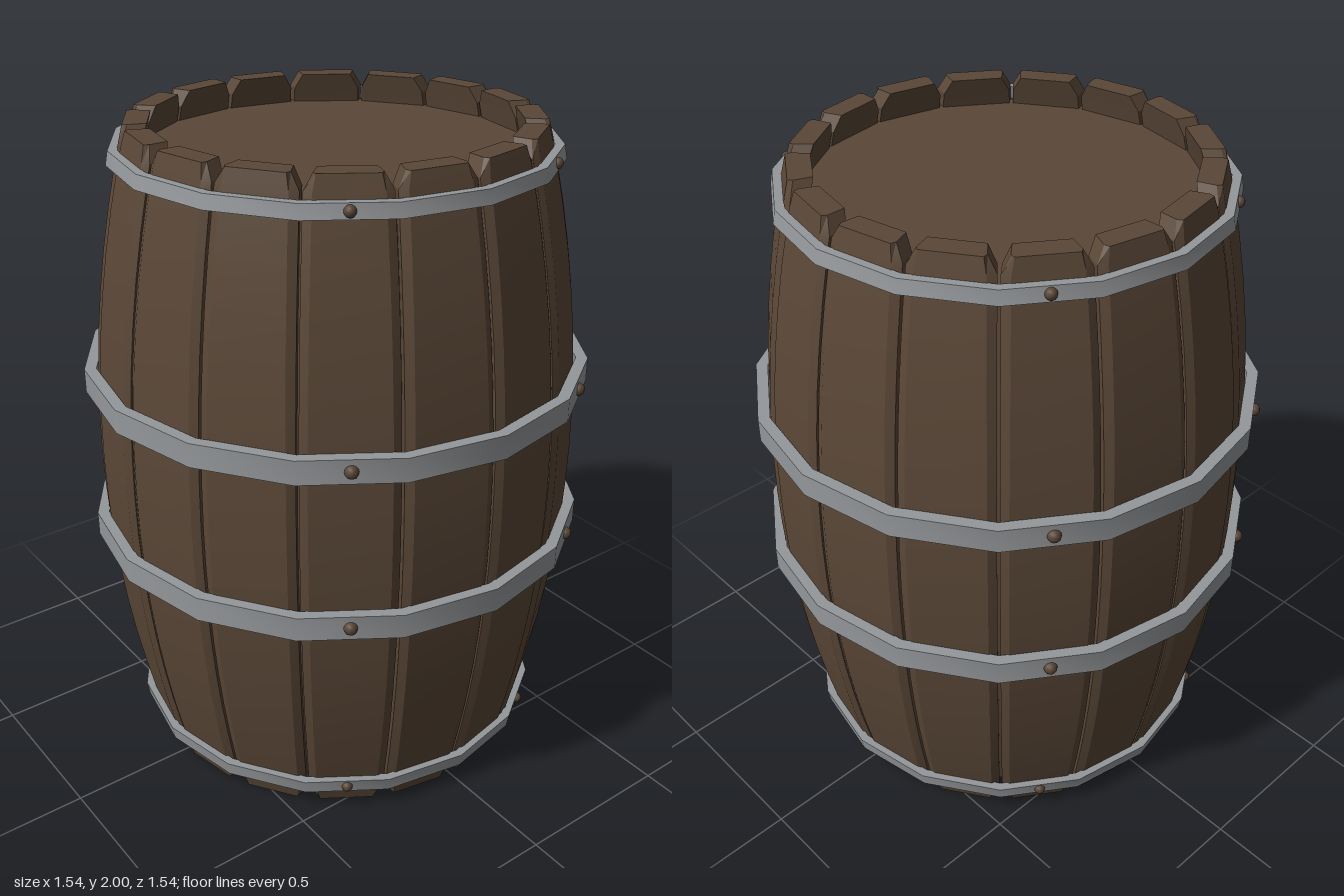
import * as THREE from 'three';
import { toCreasedNormals } from 'three/addons/utils/BufferGeometryUtils.js';

const SIDES = 16;
const HALF = Math.PI / SIDES;

// Distance from the axis to the flat outer face of a stave at height y
const apothem = (y) => (0.743 - 0.132 * (y - 1) ** 2) / 1.0196;

// One bulging stave with bevelled long edges and chamfered end corners
function staveGeometry() {
  const rows = [0, 0.045];
  for (let i = 0; i <= 14; i++) rows.push(0.09 + (1.82 * i) / 14);
  rows.push(1.955, 2);
  const pos = [], index = [], n = 6;
  rows.forEach((y, r) => {
    const a = apothem(y), inner = a - 0.069;
    const trim = y === 0 || y === 2 ? 0.024 : 0;
    const wIn = inner * Math.tan(HALF) - 0.006 - trim;
    const wEdge = a * Math.tan(HALF) - 0.007 - trim;
    const wFace = a * Math.tan(HALF) - 0.03 - trim * 0.3;
    const section = [
      [-wIn, inner], [-wEdge, a - 0.015], [-wFace, a],
      [wFace, a], [wEdge, a - 0.015], [wIn, inner],
    ];
    for (const [x, z] of section) pos.push(x, y, z);
    if (r === 0) return;
    for (let i = 0; i < n; i++) {
      const j = (i + 1) % n, b = (r - 1) * n, t = r * n;
      index.push(b + i, b + j, t + j, b + i, t + j, t + i);
    }
  });
  // End caps
  const top = (rows.length - 1) * n;
  for (let i = 1; i < n - 1; i++) {
    index.push(0, i + 1, i);
    index.push(top, top + i, top + i + 1);
  }
  const geo = new THREE.BufferGeometry();
  geo.setAttribute('position', new THREE.Float32BufferAttribute(pos, 3));
  geo.setIndex(index);
  return toCreasedNormals(geo, 0.35);
}

// Flat metal band with a closed rectangular section
function hoopGeometry(y0, y1, r0, r1, thickness) {
  const profile = [
    [r0 - thickness, y0], [r0, y0], [r1, y1], [r1 - thickness, y1], [r0 - thickness, y0],
  ].map(([r, y]) => new THREE.Vector2(r, y));
  return toCreasedNormals(new THREE.LatheGeometry(profile, SIDES), 0.5);
}

export function createModel() {
  const wood = new THREE.MeshStandardMaterial({ color: 0x5a4737 });
  wood.name = 'brown wood';
  const metal = new THREE.MeshStandardMaterial({ color: 0x95989b });
  metal.name = 'grey metal';

  const barrel = new THREE.Group();
  barrel.name = 'barrel';
  const add = (name, geo, material, parent = barrel) => {
    const mesh = new THREE.Mesh(geo, material);
    mesh.name = name;
    parent.add(mesh);
    return mesh;
  };

  // Staves
  const staves = new THREE.Group();
  staves.name = 'staves';
  barrel.add(staves);
  const staveGeo = staveGeometry();
  for (let i = 0; i < SIDES; i++) {
    add('stave', staveGeo, wood, staves).rotation.y = HALF * (2 * i + 1);
  }

  // Inner wall that closes the joints between the staves
  const wall = [];
  for (let i = 0; i <= 12; i++) {
    const y = 0.09 + (1.82 * i) / 12;
    wall.push(new THREE.Vector2(apothem(y) - 0.03, y));
  }
  add('innerWall', new THREE.LatheGeometry(wall, SIDES), wood);

  // Recessed lid and base
  const lidRadius = apothem(1.91) - 0.03;
  for (const [name, y] of [['lid', 1.9], ['base', 0.1]]) {
    add(name, new THREE.CylinderGeometry(lidRadius, lidRadius, 0.02, SIDES), wood).position.y = y;
  }

  // Hoops: bottom height, top height, bottom radius, top radius, thickness
  const hoops = [
    [0.065, 0.11, 0.652, 0.66, 0.028],
    [0.72, 0.795, 0.77, 0.77, 0.036],
    [1.215, 1.288, 0.77, 0.77, 0.036],
    [1.897, 1.938, 0.66, 0.652, 0.028],
  ];
  const rivetGeo = new THREE.SphereGeometry(1, 10, 8);
  for (const [y0, y1, r0, r1, t] of hoops) {
    const hoop = new THREE.Group();
    hoop.name = 'hoop';
    barrel.add(hoop);
    add('band', hoopGeometry(y0, y1, r0, r1, t), metal, hoop);

    // Four rivets, each centred on a flat of the band
    const radius = ((r0 + r1) / 2) * Math.cos(HALF);
    const size = t > 0.03 ? 0.02 : 0.017;
    for (const sx of [-1, 1]) {
      for (const sz of [-1, 1]) {
        const rivet = add('rivet', rivetGeo, wood, hoop);
        const angle = Math.atan2(sx * Math.cos(3 * HALF), sz * Math.sin(3 * HALF));
        rivet.position.set(Math.sin(angle) * radius, (y0 + y1) / 2, Math.cos(angle) * radius);
        rivet.rotation.y = angle;
        rivet.scale.setScalar(size);
      }
    }
  }
  return barrel;
}
